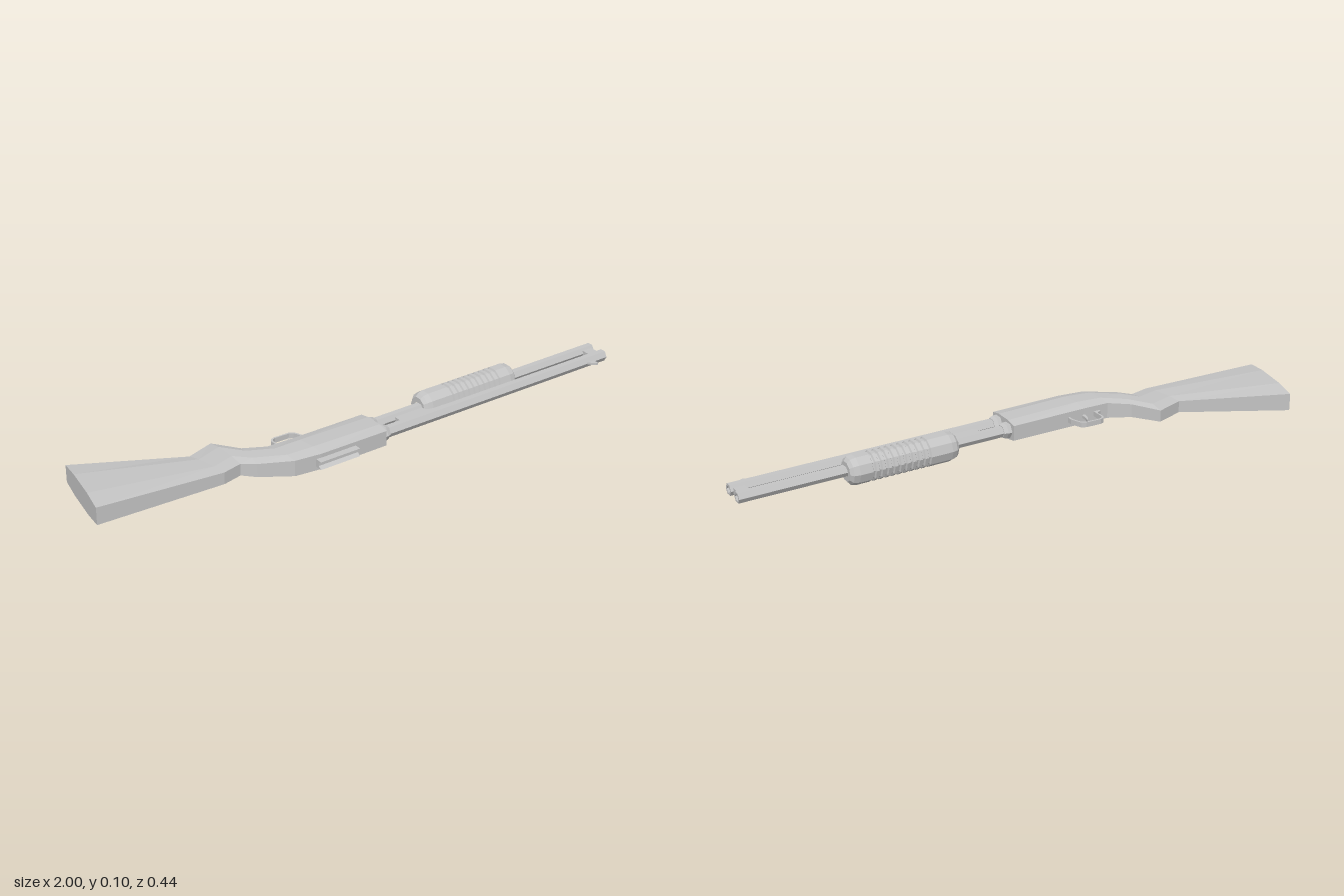
import * as THREE from 'three';

const CY = 0.05; // height of the plane of symmetry
const BARREL_Z = 0.156, TUBE_Z = 0.09;

export function createModel() {
  const grey = new THREE.MeshStandardMaterial({ color: 0xc4c4c4 });
  grey.name = 'light grey';
  grey.flatShading = true;
  const model = new THREE.Group();
  model.name = 'pumpShotgun';

  const add = (name, geometry, x = 0, y = 0, z = 0) => {
    const mesh = new THREE.Mesh(geometry, grey);
    mesh.name = name;
    mesh.position.set(x, y, z);
    model.add(mesh);
  };
  const box = (name, x0, x1, z0, z1, h) =>
    add(name, new THREE.BoxGeometry(x1 - x0, h, z1 - z0), (x0 + x1) / 2, CY, (z0 + z1) / 2);
  // Faceted solid of revolution along x, profile as [radius, x]
  const turned = (name, profile, sides, z) => {
    const g = new THREE.LatheGeometry(profile.map(p => new THREE.Vector2(...p)), sides);
    add(name, g.rotateZ(-Math.PI / 2).toNonIndexed(), 0, CY, z);
  };
  // Plate drawn in x and z, centred on the plane of symmetry
  const plate = (name, shape, h) => {
    const g = new THREE.ExtrudeGeometry(shape, { depth: h, bevelEnabled: false, curveSegments: 5 });
    add(name, g.rotateX(Math.PI / 2), 0, CY + h / 2, 0);
  };
  const outline = pts => pts.map(p => new THREE.Vector2(...p));

  // Stock and receiver, lofted: lower edge x z, upper edge x z, edge and middle half thickness
  const stations = [
    [-0.95, -0.22, -1.0, 0.065, 0.031, 0.04],
    [-0.595, -0.052, -0.56, 0.1, 0.021, 0.027],
    [-0.495, -0.085, -0.49, 0.084, 0.021, 0.029],
    [-0.435, 0.005, -0.45, 0.12, 0.024, 0.031],
    [-0.365, 0.05, -0.345, 0.18, 0.028, 0.036],
    [-0.27, 0.053, -0.25, 0.192, 0.028, 0.039],
    [0.01, 0.053, 0.01, 0.192, 0.027, 0.035],
  ];
  const ring = ([ax, az, bx, bz, edge, mid]) =>
    [[0, -edge], [0.28, -mid], [0.72, -mid], [1, -edge], [1, edge], [0.72, mid], [0.28, mid], [0, edge]]
      .map(([t, y]) => [ax + (bx - ax) * t, CY + y, az + (bz - az) * t]);
  const rings = stations.map(ring);
  const pos = [];
  const tri = (a, b, c) => pos.push(...a, ...b, ...c);
  for (let i = 0; i < rings.length - 1; i++) {
    for (let j = 0; j < 8; j++) {
      const k = (j + 1) % 8, a = rings[i], b = rings[i + 1];
      tri(a[j], b[j], b[k]);
      tri(a[j], b[k], a[k]);
    }
  }
  const first = rings[0], last = rings[rings.length - 1];
  for (let j = 1; j < 7; j++) {
    tri(first[0], first[j], first[j + 1]);
    tri(last[0], last[j + 1], last[j]);
  }
  const body = new THREE.BufferGeometry();
  body.setAttribute('position', new THREE.Float32BufferAttribute(pos, 3));
  body.computeVertexNormals();
  add('stockAndReceiver', body);

  // Hollow barrel and magazine tube with their collars
  for (const [name, z, r] of [['barrel', BARREL_Z, 0.021], ['magazineTube', TUBE_Z, 0.02]]) {
    turned(name, [[r, 0], [r, 1], [0.013, 1], [0.013, 0.96], [0, 0.96]], 6, z);
    turned(name + 'Collar', [[r + 0.008, 0], [r + 0.008, 0.024], [r + 0.003, 0.038], [r, 0.038]], 6, z);
  }
  box('muzzleBand', 0.95, 0.99, TUBE_Z + 0.015, BARREL_Z - 0.015, 0.02);
  box('actionBar', 0.11, 0.3, TUBE_Z, 0.14, 0.018);

  // Ten-sided pump grip with evenly spaced shallow grooves
  const R = 0.0515;
  const pump = [[0.018, 0.225], [0.037, 0.225], [0.047, 0.236], [R, 0.255]];
  for (let i = 0; i < 10; i++) {
    const x = 0.335 + i * 0.0225;
    pump.push([R, x], [R - 0.006, x + 0.003], [R - 0.006, x + 0.009], [R, x + 0.012]);
  }
  pump.push([R, 0.595], [0.047, 0.615], [0.035, 0.625], [0.018, 0.625]);
  turned('pumpGrip', pump, 10, 0.082);

  // Rounded trigger guard loop and trigger
  const guard = new THREE.Shape(outline([
    [-0.335, 0.06], [-0.335, 0.046], [-0.315, 0.036], [-0.316, 0], [-0.309, -0.011], [-0.296, -0.016],
    [-0.238, -0.014], [-0.222, -0.006], [-0.214, 0.012], [-0.206, 0.035], [-0.206, 0.06],
  ]));
  guard.holes.push(new THREE.Path(outline([
    [-0.309, 0.055], [-0.31, 0.002], [-0.305, -0.006], [-0.294, -0.01],
    [-0.24, -0.008], [-0.227, -0.001], [-0.22, 0.014], [-0.213, 0.035], [-0.213, 0.055],
  ])));
  plate('triggerGuard', guard, 0.018);
  const trigger = new THREE.Shape();
  trigger.moveTo(-0.275, 0.058);
  trigger.quadraticCurveTo(-0.275, 0.02, -0.252, 0.005);
  trigger.quadraticCurveTo(-0.265, 0.025, -0.262, 0.058);
  plate('trigger', trigger, 0.01);

  // Notched rear sight and small front sight blade
  const notch = new THREE.Shape(outline([
    [-0.18, 0.036], [-0.217, 0.036], [-0.204, 0.045], [-0.204, 0.055], [-0.217, 0.064], [-0.18, 0.064],
  ]));
  const rear = new THREE.ExtrudeGeometry(notch, { depth: 0.155, bevelEnabled: false });
  add('rearSight', rear.rotateY(Math.PI / 2), -0.27, 0, 0);
  plate('frontSight', new THREE.Shape(outline([
    [0.905, 0.17], [0.94, 0.17], [0.94, 0.198], [0.932, 0.198],
  ])), 0.008);

  return model;
}
